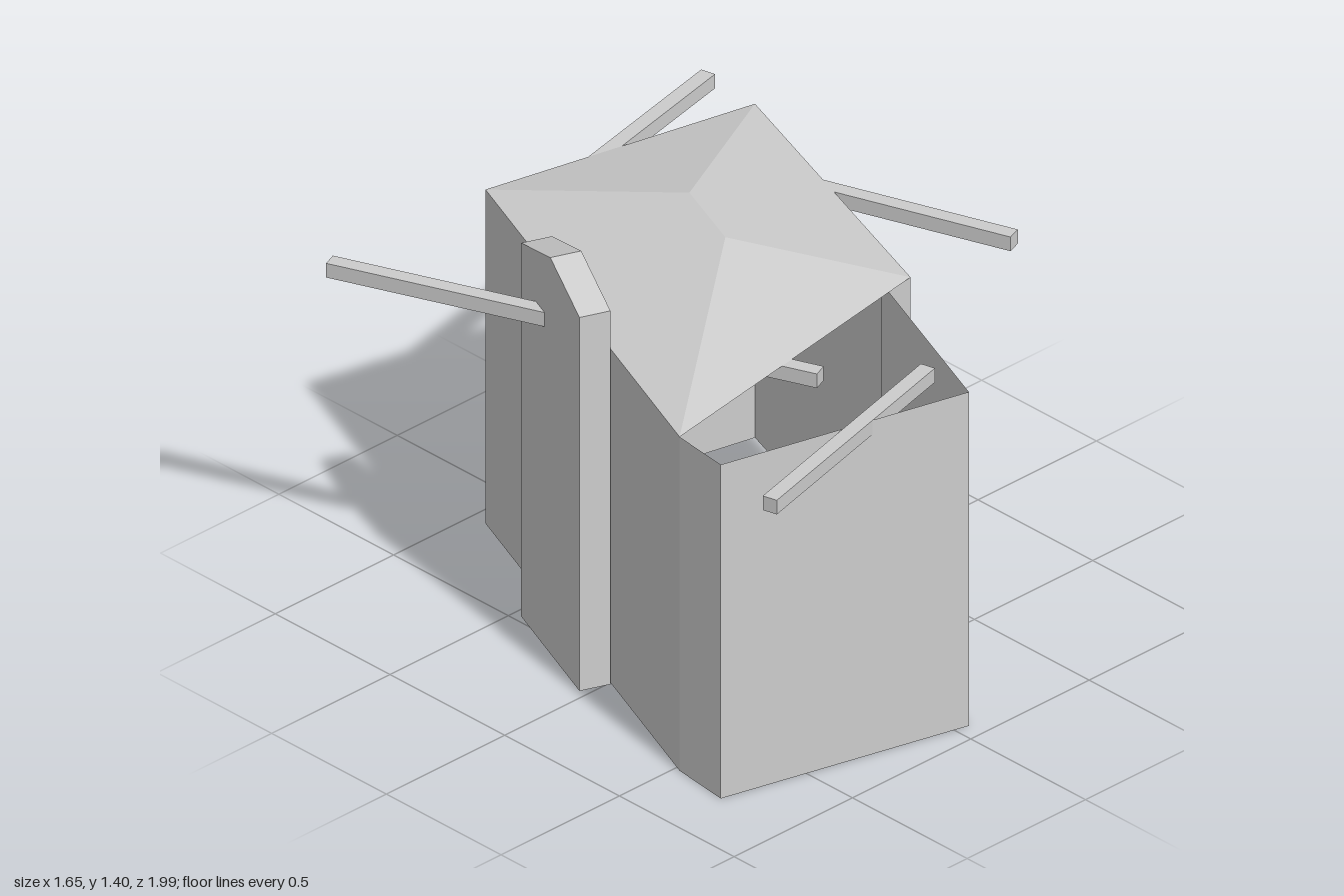
import * as THREE from 'three';

const plaster = new THREE.MeshStandardMaterial({ color: 0xcccccc, side: THREE.DoubleSide, flatShading: true });
plaster.name = 'plaster';

const WALL_TOP = 1.18;
const at = ([x, z], y) => [x, y, z];

// Thin shell from flat polygons, each fanned into triangles
function shell(name, polygons) {
  const pos = [];
  for (const p of polygons) {
    for (let i = 1; i < p.length - 1; i++) pos.push(...p[0], ...p[i], ...p[i + 1]);
  }
  const geo = new THREE.BufferGeometry();
  geo.setAttribute('position', new THREE.Float32BufferAttribute(pos, 3));
  geo.computeVertexNormals();
  const mesh = new THREE.Mesh(geo, plaster);
  mesh.name = name;
  return mesh;
}

// Upright wall along the ground line p to q, facing outward
const wall = (p, q, h) => [at(q, 0), at(p, 0), at(p, h), at(q, h)];

// Eave beam centred on a wall, swung to the mirrored angle
function eaveBeam(name, p, q) {
  const t = 0.05, dx = q[0] - p[0], dz = q[1] - p[1], len = Math.hypot(dx, dz);
  const beam = new THREE.Mesh(new THREE.BoxGeometry(len + t, t, t), plaster);
  beam.position.set(
    (p[0] + q[0]) / 2 + (dz / len) * t / 2,
    WALL_TOP - t / 2,
    (p[1] + q[1]) / 2 - (dx / len) * t / 2
  );
  beam.rotation.y = Math.atan2(dz, dx);
  beam.name = name;
  return beam;
}

export function createModel() {
  const model = new THREE.Group();
  model.name = 'house';

  // Footprint corners as [x, z]
  const backRight = [0.77, -0.735], rightFront = [0.395, 0.33], notch = [0.31, 0.29];
  const porchRight = [0.05, 0.94], porchLeft = [-0.79, 0.725];
  const leftFront = [-0.765, 0.52], backLeft = [-0.17, -0.94];
  const plan = [backRight, rightFront, notch, porchRight, porchLeft, leftFront, backLeft];

  // Walls, open at top and bottom
  model.add(shell('walls', plan.map((p, i) => wall(p, plan[(i + 1) % plan.length], WALL_TOP))));

  // Hipped roof over the rear part
  const eaves = [leftFront, rightFront, backRight, backLeft].map((p) => at(p, WALL_TOP));
  const ridgeFront = [0.005, 1.31, -0.075], ridgeBack = [0.11, 1.31, -0.34];
  model.add(shell('roof', [
    [eaves[0], eaves[1], ridgeFront],
    [ridgeFront, eaves[1], eaves[2], ridgeBack],
    [eaves[2], eaves[3], ridgeBack],
    [ridgeBack, eaves[3], eaves[0], ridgeFront],
  ]));

  // Eave beams
  model.add(
    eaveBeam('rightBeam', backRight, rightFront),
    eaveBeam('frontBeam', porchRight, porchLeft),
    eaveBeam('leftBeam', leftFront, backLeft),
    eaveBeam('backBeam', backLeft, backRight)
  );

  // Chimney with a small pitched top, gable left open towards the house
  const outer = [[-0.655, 0.03 - 0.06], [-0.475, -0.47]];
  const inner = outer.map(([x, z]) => [x + 0.095, z + 0.037]);
  const eave = 1.32, peak = 1.4;
  const mid = ([a, b]) => at([(a[0] + b[0]) / 2, (a[1] + b[1]) / 2], peak);
  const ridgeOut = mid(outer), ridgeIn = mid(inner);
  const [of, ob] = outer, [nf, nb] = inner;
  const chimney = new THREE.Group();
  chimney.name = 'chimney';
  chimney.add(
    shell('chimneyWalls', [
      wall(nf, of, eave),
      wall(ob, nb, eave),
      wall(nb, nf, eave),
      [at(ob, 0), at(of, 0), at(of, eave), ridgeOut, at(ob, eave)],
    ]),
    shell('chimneyRoof', [
      [at(of, eave), at(nf, eave), ridgeIn, ridgeOut],
      [at(nb, eave), at(ob, eave), ridgeOut, ridgeIn],
    ])
  );
  model.add(chimney);
  return model;
}
